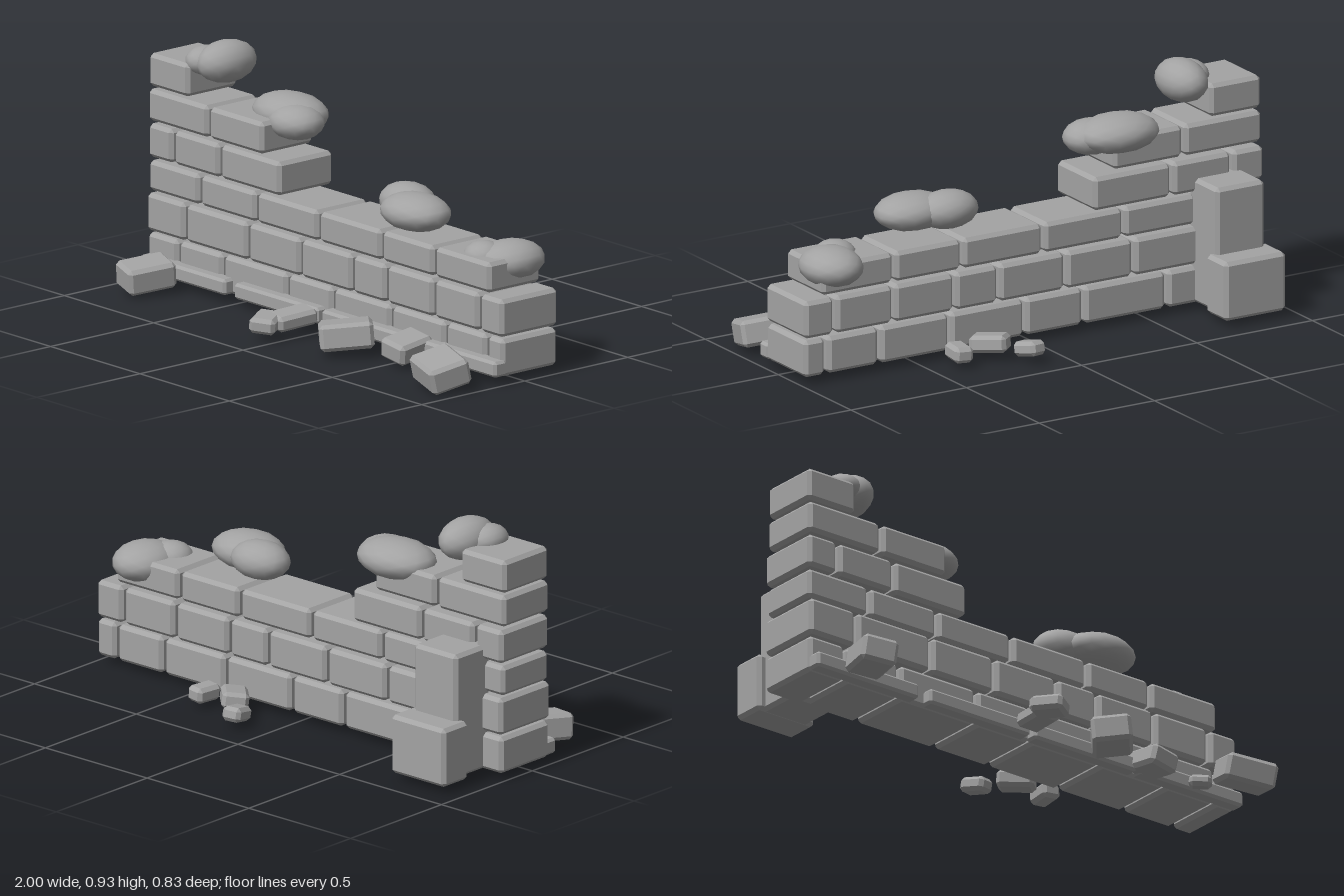
import * as THREE from 'three';
import { mergeVertices } from 'three/addons/utils/BufferGeometryUtils.js';
import { ConvexGeometry } from 'three/addons/geometries/ConvexGeometry.js';

const stone = new THREE.MeshStandardMaterial({ color: 0xa3a3a3 });
stone.name = 'grey stone';

// Box with chamfered edges and flat faces
function chamferBox(w, h, d, c = 0.014) {
  const points = [];
  for (const sx of [-1, 1]) for (const sy of [-1, 1]) for (const sz of [-1, 1]) {
    const x = w / 2, y = h / 2, z = d / 2;
    points.push(
      new THREE.Vector3(sx * x, sy * (y - c), sz * (z - c)),
      new THREE.Vector3(sx * (x - c), sy * y, sz * (z - c)),
      new THREE.Vector3(sx * (x - c), sy * (y - c), sz * z));
  }
  return new ConvexGeometry(points);
}

function addBlock(parent, name, [x0, x1], [y0, y1], [z0, z1], c) {
  const mesh = new THREE.Mesh(chamferBox(x1 - x0, y1 - y0, z1 - z0, c), stone);
  mesh.name = name;
  mesh.position.set((x0 + x1) / 2, (y0 + y1) / 2, (z0 + z1) / 2);
  parent.add(mesh);
}

function addGroup(parent, name) {
  const group = new THREE.Group();
  group.name = name;
  parent.add(group);
  return group;
}

// Courses of bricks: height range, depth range, joint positions
const courses = [
  { y: [0.036, 0.177], z: [-0.17, 0.098], joints: [-1, -0.83, -0.58, -0.22, 0.035, 0.36, 0.665, 0.895, 0.99] },
  { y: [0.186, 0.328], z: [-0.173, 0.104], joints: [-1, -0.785, -0.435, -0.14, 0.15, 0.34, 0.605, 0.86, 0.99] },
  { y: [0.336, 0.45], z: [-0.16, 0.093], joints: [-1, -0.717, -0.4, -0.052, 0.3, 0.595, 0.907] },
  { y: [0.463, 0.59], z: [-0.17, 0.095], joints: [-1, -0.863, -0.603, -0.265] },
  { y: [0.602, 0.722], z: [-0.155, 0.097], joints: [-1, -0.663, -0.36] },
  { y: [0.732, 0.857], z: [-0.152, 0.093], joints: [-1, -0.78] },
];

// Loose rubble: x, y, z, width, height, depth, tilt x, turn y, tilt z
const rubble = [
  [-0.83, 0.08, 0.25, 0.14, 0.1, 0.19, 0.1, -0.31, -0.08],
  [-0.035, 0.075, 0.23, 0.1, 0.06, 0.17, 0.08, -0.15, -0.08],
  [-0.065, 0.07, 0.33, 0.1, 0.06, 0.13, 0.08, 0.55, -0.1],
  [0.29, 0.083, 0.25, 0.15, 0.1, 0.2, 0.1, -0.67, 0.17],
  [0.54, 0.075, 0.175, 0.125, 0.08, 0.16, 0.12, 0.04, -0.17],
  [0.76, 0.058, 0.18, 0.085, 0.045, 0.06, 0.08, -0.7, 0],
  [0.875, 0.08, 0.3, 0.2, 0.1, 0.16, 0.25, -0.3, -0.03],
  [0.135, 0.058, -0.355, 0.075, 0.055, 0.11, 0.22, 0.25, 0],
  [0.24, 0.068, -0.25, 0.1, 0.065, 0.14, 0.1, 0.78, 0.05],
  [0.38, 0.058, -0.26, 0.075, 0.06, 0.11, 0, -0.12, 0.05],
];

// Rounded mounds along the broken top: centre and radii of each lobe
const mounds = [
  [[-0.72, 0.86, -0.045, 0.087, 0.08, 0.127], [-0.78, 0.86, 0, 0.072, 0.055, 0.085]],
  [[-0.415, 0.722, -0.09, 0.165, 0.073, 0.122], [-0.33, 0.71, -0.045, 0.112, 0.066, 0.1]],
  [[0.295, 0.537, -0.045, 0.122, 0.072, 0.095], [0.41, 0.533, 0.018, 0.15, 0.07, 0.117]],
  [[0.825, 0.42, -0.085, 0.115, 0.074, 0.135], [0.762, 0.43, -0.01, 0.083, 0.06, 0.08]],
];

// Faceted ball with smooth shading
function lobeGeometry(rx, ry, rz) {
  let ball = new THREE.IcosahedronGeometry(1, 2);
  ball.deleteAttribute('uv');
  ball.deleteAttribute('normal');
  ball = mergeVertices(ball, 1e-4);
  ball.scale(rx, ry, rz);
  ball.computeVertexNormals();
  return ball;
}

export function createModel() {
  const model = new THREE.Group();
  model.name = 'ruinedWall';

  // Stepped brick wall
  const wall = addGroup(model, 'brickWall');
  const gap = 0.006;
  for (const { y, z, joints } of courses) {
    for (let i = 0; i + 1 < joints.length; i++) {
      const left = joints[i] + (i ? gap : 0);
      const right = joints[i + 1] - (i + 2 < joints.length ? gap : 0);
      addBlock(wall, 'brick', [left, right], y, z);
    }
  }

  // Low footing along the front
  const footing = addGroup(model, 'footing');
  for (const x of [[-0.995, -0.52], [-0.47, 0], [0.02, 0.5], [0.51, 0.995]])
    addBlock(footing, 'footingSlab', x, [0.04, 0.1], [0.08, 0.14], 0.01);

  // Stepped buttress at the back
  const buttress = addGroup(model, 'buttress');
  addBlock(buttress, 'tallButtress', [-0.91, -0.7], [0.036, 0.515], [-0.32, -0.125]);
  addBlock(buttress, 'lowButtress', [-0.94, -0.675], [0.034, 0.26], [-0.42, -0.28]);

  // Fallen stones
  const fallen = addGroup(model, 'rubble');
  for (const [x, y, z, w, h, d, rx, ry, rz] of rubble) {
    const mesh = new THREE.Mesh(chamferBox(w, h, d), stone);
    mesh.name = 'fallenStone';
    mesh.position.set(x, y, z);
    mesh.rotation.set(rx, ry, rz);
    fallen.add(mesh);
  }

  // Mounds on the wall top
  for (const lobes of mounds) {
    const mound = addGroup(model, 'mound');
    for (const [x, y, z, rx, ry, rz] of lobes) {
      const mesh = new THREE.Mesh(lobeGeometry(rx, ry, rz), stone);
      mesh.name = 'moundLobe';
      mesh.position.set(x, y, z);
      mound.add(mesh);
    }
  }
  return model;
}
